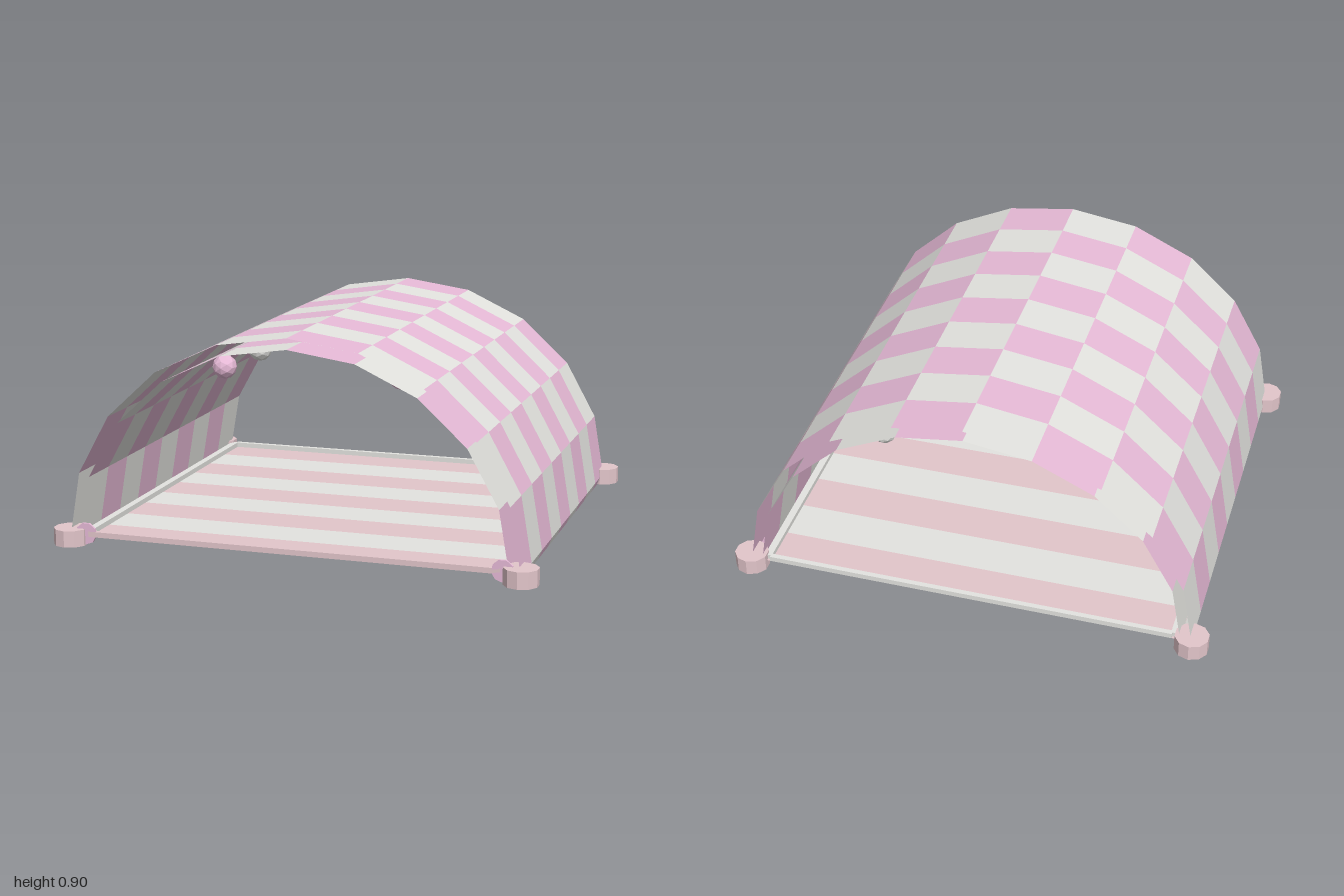
import * as THREE from 'three';

const mat = (name, color, side = THREE.DoubleSide) =>
  new THREE.MeshStandardMaterial({ name, color, side, flatShading: true });

export function createModel() {
  const model = new THREE.Group();
  const pink = mat('pink', 0xe8bbd8);
  const white = mat('offWhite', 0xe4e4e0);
  const blush = mat('blush', 0xe3c6cb);
  const COLS = 9, HALF = 0.84;

  const add = (name, geo, material, x = 0, y = 0, z = 0) => {
    const m = new THREE.Mesh(geo, material);
    m.name = name;
    m.position.set(x, y, z);
    model.add(m);
    return m;
  };

  // Sheet swept along z from a profile of [x, y], split into two sets of cells
  function sheet(name, profile, matA, matB, isA) {
    const cells = [[], []];
    for (let i = 0; i < profile.length - 1; i++) {
      const [x0, y0] = profile[i], [x1, y1] = profile[i + 1];
      for (let j = 0; j < COLS; j++) {
        const z0 = HALF - (j * 2 * HALF) / COLS, z1 = HALF - ((j + 1) * 2 * HALF) / COLS;
        cells[isA(i, j) ? 0 : 1].push(
          x0, y0, z0, x0, y0, z1, x1, y1, z1,
          x0, y0, z0, x1, y1, z1, x1, y1, z0);
      }
    }
    const geo = new THREE.BufferGeometry();
    geo.setAttribute('position', new THREE.Float32BufferAttribute([...cells[0], ...cells[1]], 3));
    geo.addGroup(0, cells[0].length / 3, 0);
    geo.addGroup(cells[0].length / 3, cells[1].length / 3, 1);
    geo.computeVertexNormals();
    add(name, geo, [matA, matB]);
  }

  // Half-ellipse profile running from +x to -x
  const arch = (rx, ry) => Array.from({ length: 11 }, (_, i) => {
    const a = (i * Math.PI) / 10;
    return [rx * Math.cos(a), 0.04 + ry * Math.sin(a)];
  });
  const checker = (i, j) => (i + j) % 2 === 0;

  // Double-walled checkered canopy, open at both ends
  sheet('outerCanopy', arch(0.93, 0.86), pink, white, checker);
  sheet('innerCanopy', arch(0.885, 0.815).reverse(), pink, white, (i, j) => checker(i + 1, j));

  // Folded lower hems joining the two walls
  sheet('leftHem', [[0.885, 0.04], [0.9, 0.002], [0.915, 0.002], [0.93, 0.04]],
    pink, white, (i, j) => j % 2 === 0);
  sheet('rightHem', [[-0.93, 0.04], [-0.915, 0.002], [-0.9, 0.002], [-0.885, 0.04]],
    pink, white, (i, j) => j % 2 === 1);

  // Striped floor
  sheet('floor', [[0.885, 0.045], [-0.885, 0.045]], blush, white, (i, j) => j % 2 === 0);

  // Bars across the two openings
  add('frontBar', new THREE.BoxGeometry(1.7, 0.022, 0.022), blush, 0, 0.055, 0.834);
  add('backBar', new THREE.BoxGeometry(1.7, 0.022, 0.022), white, 0, 0.055, -0.829);

  // Side rails, front discs and feet
  const foot = new THREE.CylinderGeometry(0.07, 0.07, 0.068, 10);
  const disc = new THREE.CylinderGeometry(0.045, 0.045, 0.01, 9).rotateX(Math.PI / 2);
  const rail = new THREE.BoxGeometry(0.03, 0.022, 1.66);
  for (const s of [1, -1]) {
    add('sideRail', rail, white, s * 0.86, 0.055, 0);
    add('railDisc', disc, pink, s * 0.86, 0.057, 0.84);
    for (const t of [1, -1]) add('foot', foot, blush, s * 0.93, 0.042, t * 0.835);
  }

  // Small hanging lamps in pairs under the canopy
  const lamp = new THREE.IcosahedronGeometry(0.05, 1);
  for (const z of [-0.69, -0.28, 0.13, 0.54])
    for (const s of [1, -1]) add('lamp', lamp, z > 0.5 ? pink : white, s * 0.37, 0.715, z);

  return model;
}
